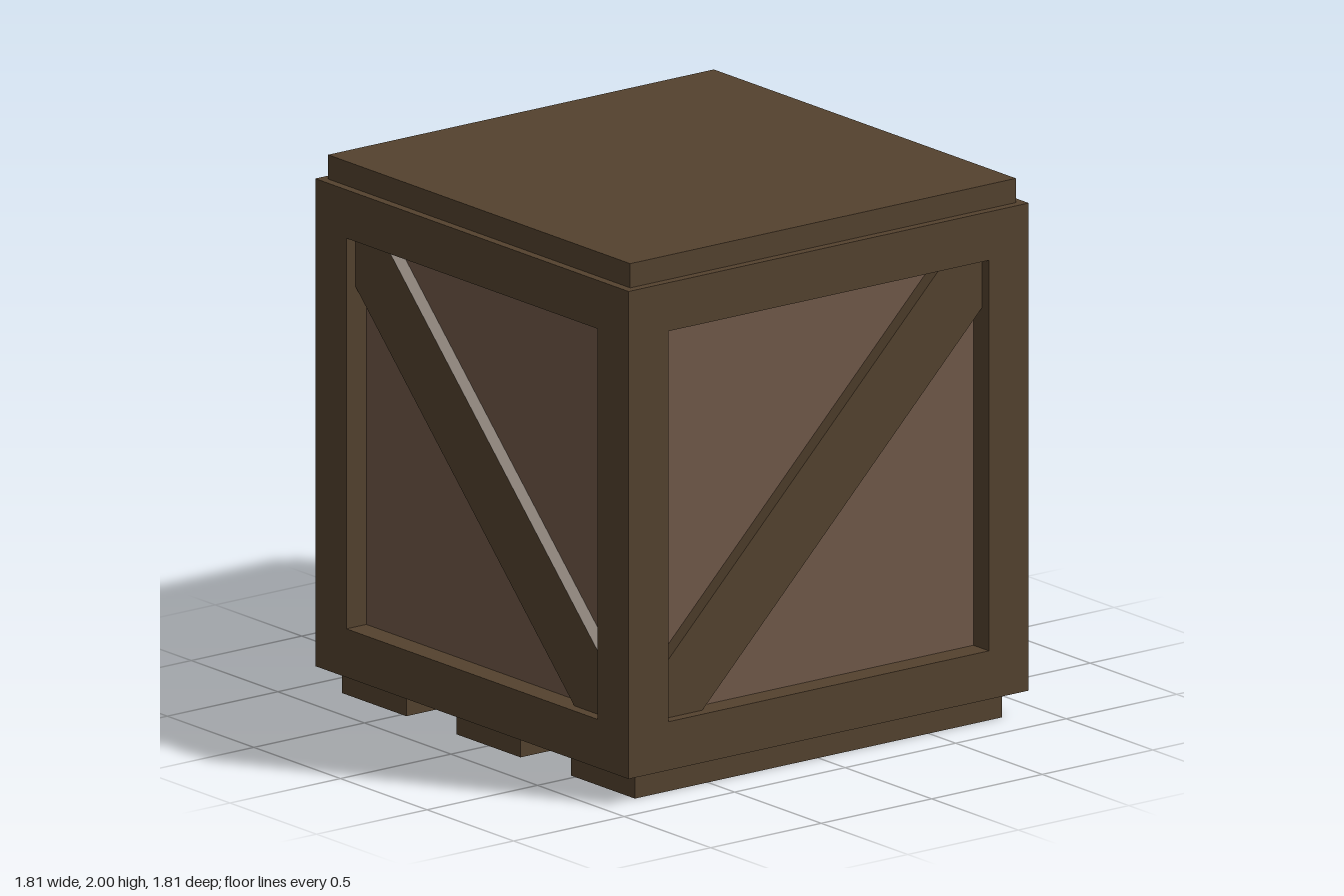
import * as THREE from 'three';

export function createModel() {
  const crate = new THREE.Group();
  crate.name = 'crate';
  const wood = new THREE.MeshStandardMaterial({ color: 0x54422e });
  const panelWood = new THREE.MeshStandardMaterial({ color: 0x705848 });

  const H = 0.905;          // half width of the frame
  const B = 0.18;           // beam thickness
  const I = H - B;          // half width of each opening
  const C = H - B / 2;      // beam centre line
  const R = 0.09;           // depth of the recessed panels
  const MID = 1.005;        // height of the crate's centre

  function box(name, w, h, d, x, y, z, material = wood) {
    const mesh = new THREE.Mesh(new THREE.BoxGeometry(w, h, d), material);
    mesh.name = name;
    mesh.position.set(x, y, z);
    crate.add(mesh);
  }

  // Inner box, seen as the recessed panels
  const core = 2 * (H - R);
  box('panels', core, core, core, 0, MID, 0, panelWood);

  // Frame: four posts and eight rails
  for (const a of [-1, 1]) {
    for (const b of [-1, 1]) {
      box('cornerPost', B, 2 * H, B, a * C, MID, b * C);
      box('frontBackRail', 2 * I, B, B, 0, MID + a * C, b * C);
      box('sideRail', B, B, 2 * I, a * C, MID + b * C, 0);
    }
  }

  // Diagonal braces, cut to fit the openings and set slightly back
  const braceDepth = 0.05;
  const cut = I - 0.185;
  function brace(name, angle, flip) {
    const points = [[-I, I], [-I, cut], [cut, -I], [I, -I], [I, -cut], [-cut, I]]
      .map(([x, y]) => new THREE.Vector2(x * flip, y));
    const geometry = new THREE.ExtrudeGeometry(new THREE.Shape(points), {
      depth: braceDepth, bevelEnabled: false,
    });
    geometry.translate(0, 0, H - R);
    const mesh = new THREE.Mesh(geometry, wood);
    mesh.name = name;
    mesh.position.y = MID;
    mesh.rotation.y = angle;
    crate.add(mesh);
  }
  ['frontBrace', 'rightBrace', 'backBrace', 'leftBrace'].forEach((name, i) => {
    brace(name, i * Math.PI / 2, i % 2 ? -1 : 1);
  });

  // Lid
  box('lid', 1.745, 0.09, 1.745, 0, 1.955, 0);

  // Skids running front to back
  for (const x of [-0.66, 0, 0.66]) box('skid', 0.37, 0.1, 1.66, x, 0.05, 0);

  return crate;
}
